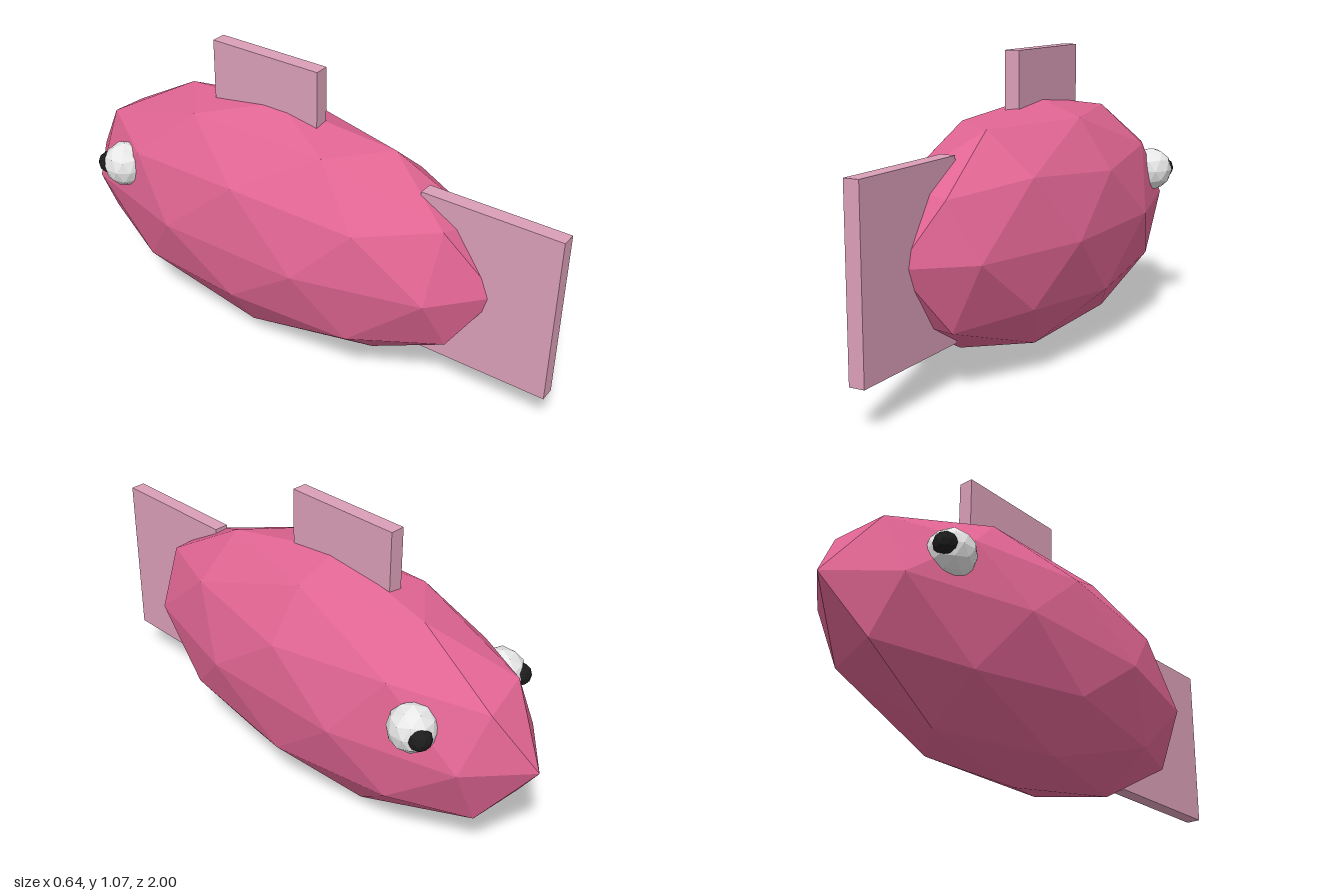
import * as THREE from 'three';

const mat = (name, color) => {
  const m = new THREE.MeshStandardMaterial({ color, flatShading: true });
  m.name = name;
  return m;
};

// Low-poly ball with a vertex at each pole, stretched to the given radii
function facetedBall(rx, ry, rz) {
  const g = new THREE.IcosahedronGeometry(1, 1);
  g.rotateZ(-Math.atan(2 / (1 + Math.sqrt(5))));
  g.scale(rx, ry, rz);
  g.computeVertexNormals();
  return g;
}

export function createModel() {
  const model = new THREE.Group();
  model.name = 'fish';
  const pink = mat('body pink', 0xe06592);
  const palePink = mat('fin pale pink', 0xdb9fb7);
  const white = mat('eye white', 0xeaeaea);
  const black = mat('pupil black', 0x1c1c1c);

  const add = (name, geometry, material, x, y, z) => {
    const mesh = new THREE.Mesh(geometry, material);
    mesh.name = name;
    mesh.position.set(x, y, z);
    model.add(mesh);
  };

  // Body, with the head towards -z
  add('body', facetedBall(0.336, 0.446, 0.892), pink, 0, 0.449, -0.106);

  // Fins: plain slabs sunk into the body
  add('tailFin', new THREE.BoxGeometry(0.055, 0.62, 0.51), palePink, 0, 0.452, 0.745);
  add('dorsalFin', new THREE.BoxGeometry(0.055, 0.4, 0.446), palePink, 0, 0.87, -0.153);

  // Eyes, with pupils looking forward and slightly outward
  for (const [side, s] of [['left', 1], ['right', -1]]) {
    add(side + 'Eye', facetedBall(0.084, 0.084, 0.084), white, s * 0.222, 0.568, -0.662);
    add(side + 'Pupil', facetedBall(0.041, 0.041, 0.041), black, s * 0.252, 0.568, -0.718);
  }
  return model;
}
